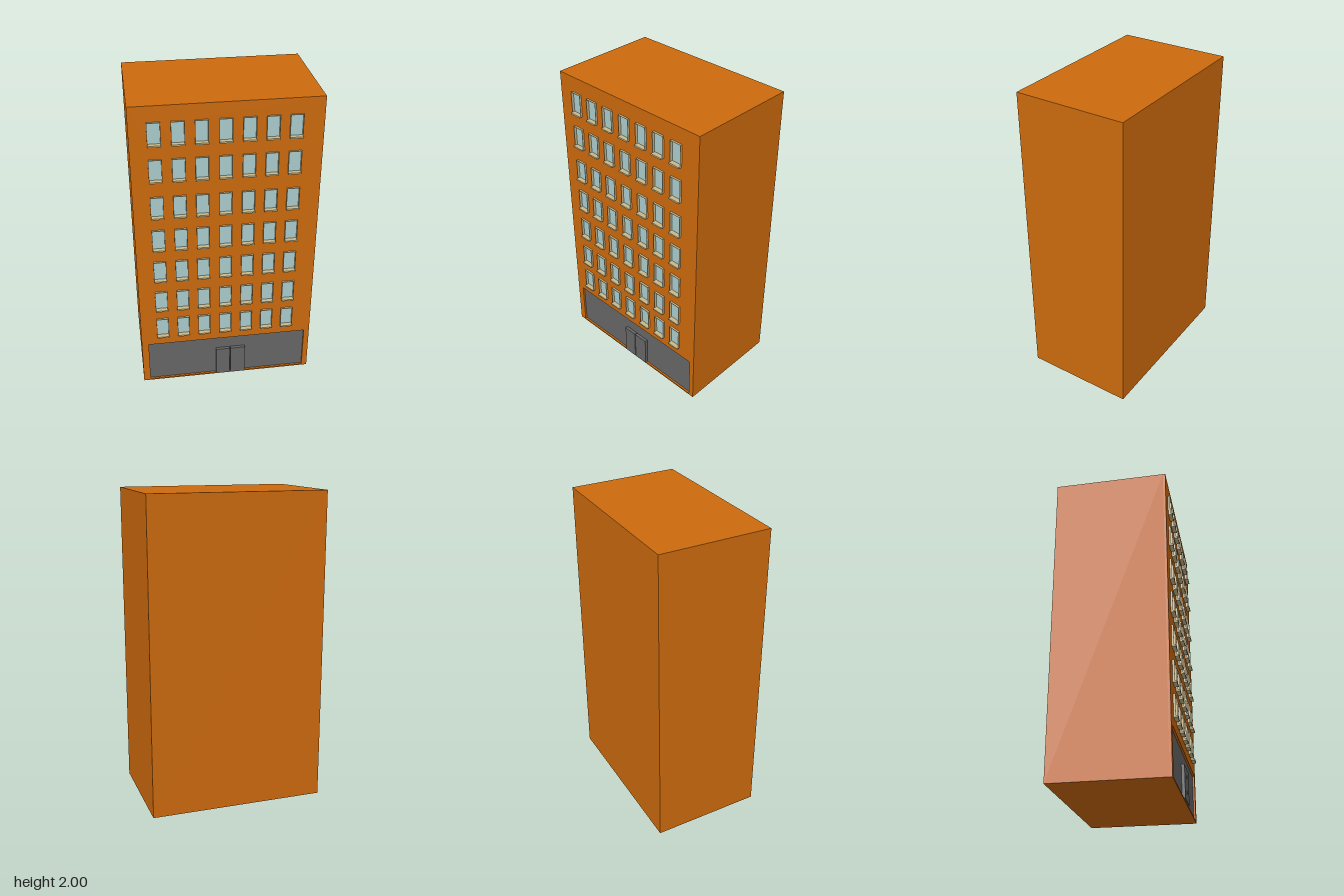
import * as THREE from 'three';

const mat = (color) => new THREE.MeshStandardMaterial({ color, flatShading: true });

// Box given by its min and max corners
function box(name, material, [x0, y0, z0], [x1, y1, z1]) {
  const g = new THREE.BoxGeometry(x1 - x0, y1 - y0, z1 - z0);
  const m = new THREE.Mesh(g, material);
  m.name = name;
  m.position.set((x0 + x1) / 2, (y0 + y1) / 2, (z0 + z1) / 2);
  return m;
}

function rect(Type, x0, y0, x1, y1) {
  return new Type([[x0, y0], [x1, y0], [x1, y1], [x0, y1]].map(([x, y]) => new THREE.Vector2(x, y)));
}

export function createModel() {
  const model = new THREE.Group();
  model.name = 'building';
  const brick = mat(0xcc6a0d), glass = mat(0xaacccc), stone = mat(0xc8b88a), grey = mat(0x666666);

  const W = 0.565, H = 2, BACK = -0.37, FACE = 0.345, INNER = 0.33;
  const columns = [-0.422, -0.285, -0.149, -0.01, 0.128, 0.264, 0.4];
  const rows = [0.375, 0.59, 0.82, 1.05, 1.28, 1.525, 1.757];
  const halfW = 0.039, winH = 0.145;

  // Main block, with a pierced front wall
  model.add(box('mainBlock', brick, [-W, 0, BACK], [W, H, INNER]));
  const wall = rect(THREE.Shape, -W, 0, W, H);
  wall.holes.push(rect(THREE.Path, -0.52, 0.01, 0.53, 0.31));
  for (const y of rows) for (const x of columns)
    wall.holes.push(rect(THREE.Path, x - halfW, y, x + halfW, y + winH));
  const front = new THREE.Mesh(
    new THREE.ExtrudeGeometry(wall, { depth: FACE - INNER, bevelEnabled: false }), brick);
  front.name = 'frontWall';
  front.position.z = INNER;
  model.add(front);

  // Windows: thin projecting frame, recessed pane and sill
  const frameShape = rect(THREE.Shape, -halfW, 0, halfW, winH);
  frameShape.holes.push(rect(THREE.Path, -halfW + 0.002, 0.002, halfW - 0.002, winH - 0.002));
  const frameGeo = new THREE.ExtrudeGeometry(frameShape, { depth: 0.028, bevelEnabled: false });
  for (const y of rows) for (const x of columns) {
    const win = new THREE.Group();
    win.name = 'window';
    win.position.set(x, y, 0);
    const frame = new THREE.Mesh(frameGeo, stone);
    frame.name = 'windowFrame';
    frame.position.z = INNER;
    win.add(frame);
    win.add(box('windowPane', glass, [-halfW + 0.002, 0.002, INNER - 0.002], [halfW - 0.002, winH - 0.002, 0.34]));
    win.add(box('windowSill', stone, [-halfW, 0, 0.34], [halfW, 0.01, 0.37]));
    model.add(win);
  }

  // Ground floor: recessed front with two projecting door leaves
  model.add(box('groundFloorPanel', grey, [-0.52, 0.01, INNER - 0.002], [0.53, 0.31, INNER + 0.002]));
  for (const [x0, x1] of [[-0.07, 0.022], [0.028, 0.125]])
    model.add(box('doorLeaf', grey, [x0, 0.01, INNER], [x1, 0.218, 0.352]));

  return model;
}
